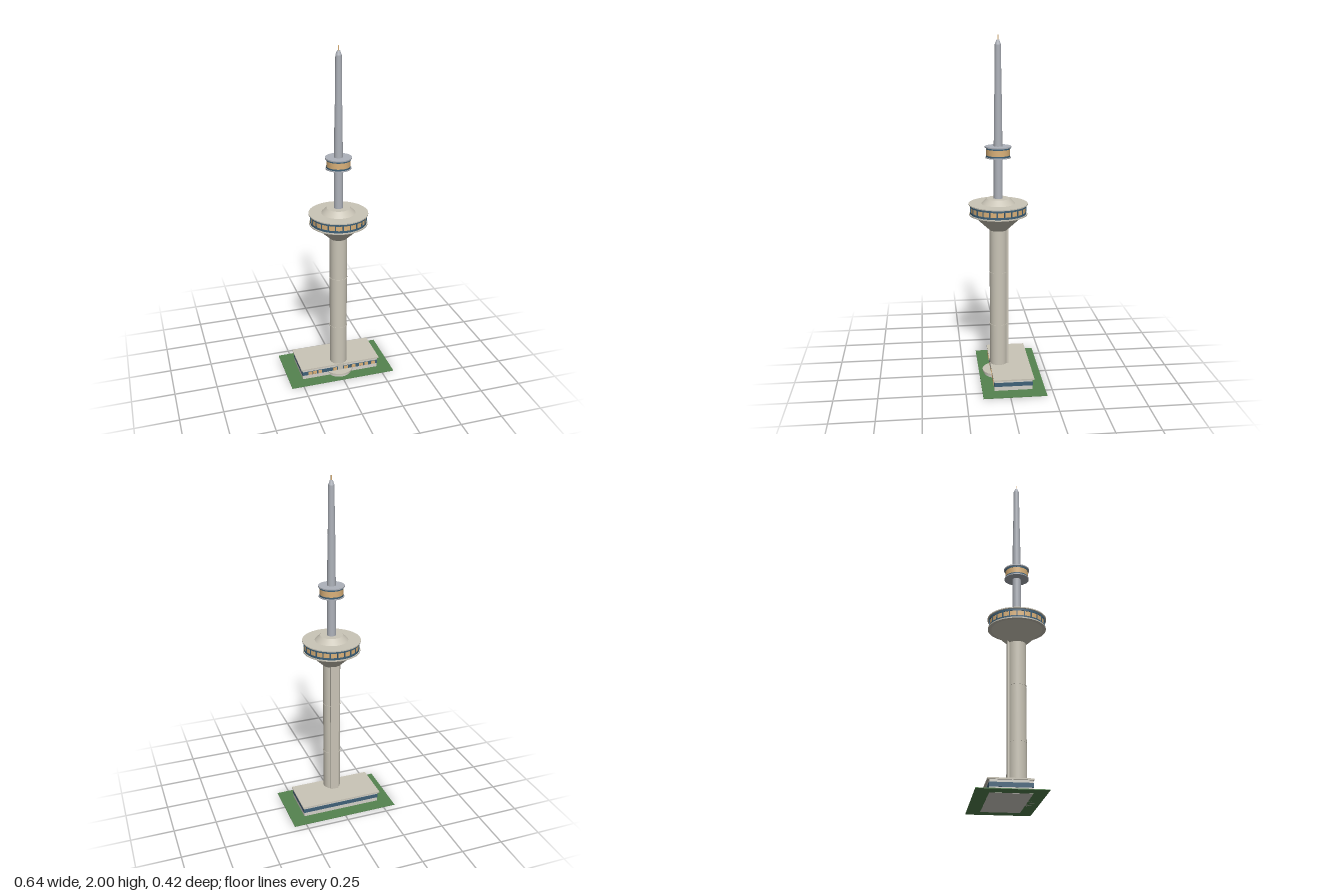
import * as THREE from 'three';

const mat = (name, color) => {
  const m = new THREE.MeshStandardMaterial({ color });
  m.name = name;
  return m;
};

export function createModel() {
  const lawn = mat('lawn green', 0x55834f);
  const concrete = mat('concrete', 0xcac5b7);
  const wall = mat('pale wall', 0xd3d0c8);
  const steel = mat('mast grey', 0xaeb2ba);
  const glass = mat('blue glass', 0x3f6178);
  const amber = mat('lit window', 0xdbb27a);

  const model = new THREE.Group();
  model.name = 'televisionTower';
  const tower = new THREE.Group();
  tower.name = 'tower';
  tower.position.z = 0.038;
  model.add(tower);

  const add = (parent, name, geometry, material) => {
    const mesh = new THREE.Mesh(geometry, material);
    mesh.name = name;
    parent.add(mesh);
    return mesh;
  };
  // Box given by its limits on each axis
  const box = (parent, name, m, x0, x1, y0, y1, z0, z1) => {
    const mesh = add(parent, name, new THREE.BoxGeometry(x1 - x0, y1 - y0, z1 - z0), m);
    mesh.position.set((x0 + x1) / 2, (y0 + y1) / 2, (z0 + z1) / 2);
    return mesh;
  };
  // Upright round part between two heights
  const drum = (parent, name, m, y0, y1, r0, r1 = r0) => {
    const mesh = add(parent, name, new THREE.CylinderGeometry(r1, r0, y1 - y0, 48), m);
    mesh.position.y = (y0 + y1) / 2;
    return mesh;
  };

  // Site and low building
  box(model, 'lawn', lawn, -0.322, 0.322, 0.001, 0.005, -0.21, 0.155);
  const hall = new THREE.Group();
  hall.name = 'entranceBuilding';
  model.add(hall);
  box(hall, 'walls', wall, -0.238, 0.238, 0, 0.067, -0.135, 0.084);
  box(hall, 'windowBand', glass, -0.24, 0.24, 0.03, 0.054, -0.137, 0.086);
  box(hall, 'flatRoof', concrete, -0.247, 0.247, 0.067, 0.075, -0.145, 0.09);
  for (const x of [-0.192, -0.162, -0.13, -0.035, 0.035, 0.085, 0.133, 0.168, 0.212]) {
    box(hall, 'litPane', amber, x - 0.012, x + 0.012, 0.032, 0.052, 0.085, 0.0885);
  }

  // Round porch at the front
  drum(hall, 'porch', wall, 0.001, 0.023, 0.076).position.z = 0.05;
  drum(hall, 'porchCanopy', concrete, 0.023, 0.031, 0.085).position.z = 0.05;

  // Shaft with collars and lift rib at the back
  drum(tower, 'shaft', concrete, 0.004, 0.91, 0.051);
  for (const y of [0.327, 0.65]) drum(tower, 'shaftCollar', concrete, y - 0.003, y + 0.003, 0.053);
  box(tower, 'liftRib', concrete, -0.025, 0.025, 0.075, 0.93, -0.0565, -0.03);

  // Main pod
  drum(tower, 'podFunnel', concrete, 0.905, 0.995, 0.051, 0.147);
  drum(tower, 'podFloor', concrete, 0.995, 1.002, 0.167);
  drum(tower, 'podLowerGlass', glass, 1.002, 1.014, 0.161);
  drum(tower, 'podWindows', amber, 1.014, 1.042, 0.159);
  drum(tower, 'podUpperGlass', glass, 1.042, 1.055, 0.162);
  drum(tower, 'podRoof', concrete, 1.055, 1.061, 0.17);
  drum(tower, 'podRoofCone', concrete, 1.061, 1.091, 0.097, 0.066);
  for (let i = 0; i < 24; i++) {
    const a = ((i + 0.5) / 24) * Math.PI * 2;
    const bar = box(tower, 'podMullion', glass, -0.003, 0.003, 1.012, 1.044, -0.003, 0.003);
    bar.position.x = Math.sin(a) * 0.159;
    bar.position.z = Math.cos(a) * 0.159;
    bar.rotation.y = a;
  }

  // Upper pod
  drum(tower, 'upperPodFloor', steel, 1.325, 1.331, 0.072);
  drum(tower, 'upperPodLowerGlass', glass, 1.331, 1.34, 0.068);
  drum(tower, 'upperPodWindows', amber, 1.34, 1.375, 0.067);
  drum(tower, 'upperPodUpperGlass', glass, 1.375, 1.384, 0.069);
  drum(tower, 'upperPodRoof', steel, 1.384, 1.391, 0.075);

  // Mast, tapering in stages
  drum(tower, 'lowerMast', steel, 1.09, 1.326, 0.026, 0.0245);
  drum(tower, 'middleMast', steel, 1.39, 1.68, 0.0245, 0.0215);
  drum(tower, 'upperMast', steel, 1.68, 1.95, 0.02, 0.017);
  drum(tower, 'mastCap', steel, 1.95, 1.974, 0.017, 0.008);
  drum(tower, 'antenna', amber, 1.974, 2.0, 0.003);

  return model;
}
